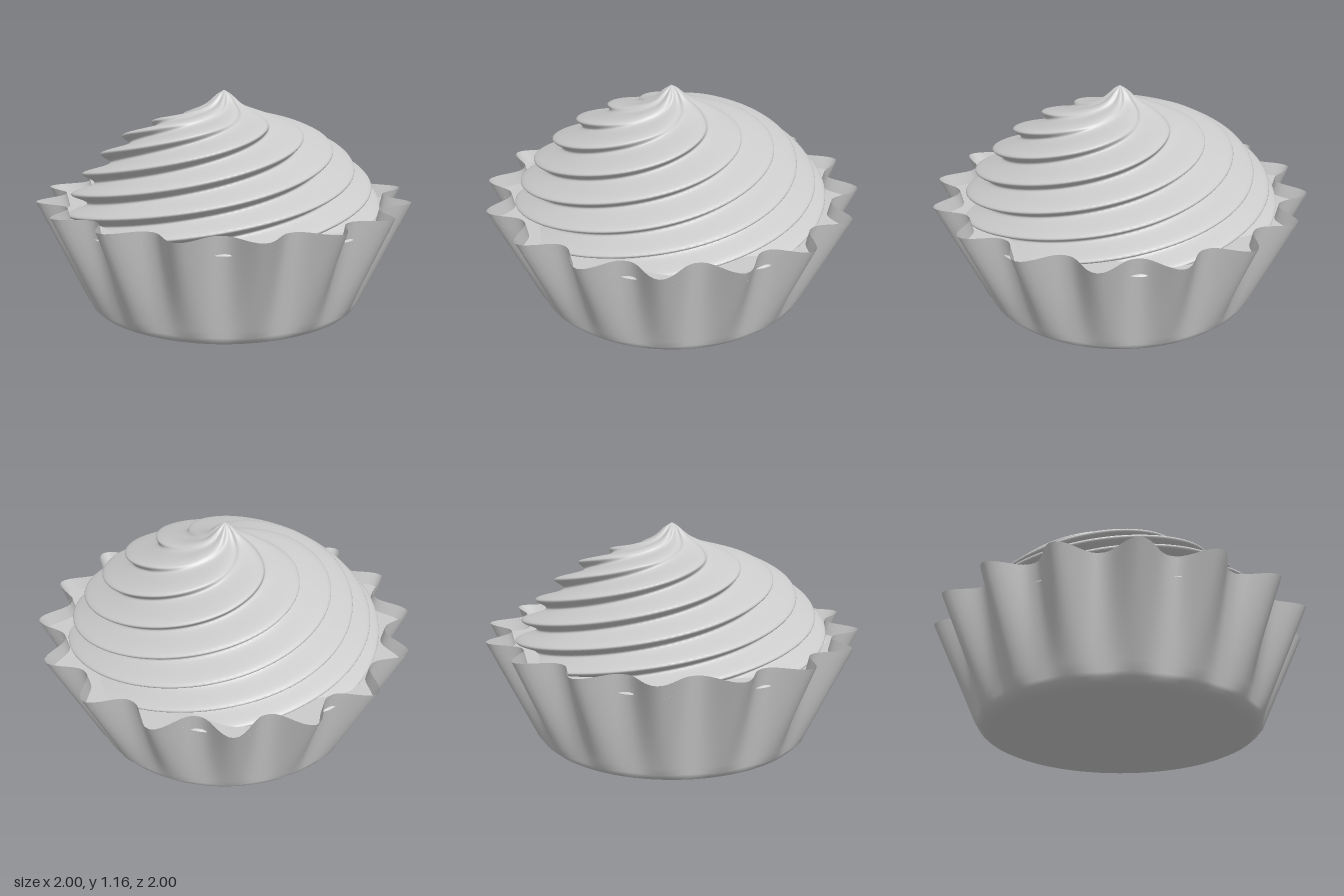
import * as THREE from 'three';

const TEETH = 16, LOBES = 8;

// Closed surface swept through rings, bottom to top; ring(v, angle) gives [radius, height]
function loft(rings, segments, ring) {
  const position = [], index = [];
  for (let j = 0; j <= rings; j++) {
    for (let i = 0; i < segments; i++) {
      const a = (i / segments) * Math.PI * 2;
      const [r, y] = ring(j / rings, a);
      position.push(r * Math.cos(a), y, r * Math.sin(a));
    }
  }
  for (let j = 0; j < rings; j++) {
    for (let i = 0; i < segments; i++) {
      const a = j * segments + i, b = j * segments + ((i + 1) % segments);
      index.push(a, a + segments, b, b, a + segments, b + segments);
    }
  }
  const g = new THREE.BufferGeometry();
  g.setAttribute('position', new THREE.Float32BufferAttribute(position, 3));
  g.setIndex(index);
  g.computeVertexNormals();
  return g;
}

// 0 in the valleys of the fluted wall, 1 on the teeth
const tooth = (a) => Math.pow((1 + Math.cos(TEETH * a)) / 2, 1.3);

// Fluted wall above the rounded foot
function wallRadius(y, a) {
  const t = (y - 0.06) / 0.54;
  const valley = 0.735 + 0.122 * t, tip = 0.748 + 0.252 * t;
  return valley + (tip - valley) * tooth(a);
}

export function createModel() {
  const group = new THREE.Group();
  const grey = new THREE.MeshStandardMaterial({ color: 0xcccccc });
  const thin = new THREE.MeshStandardMaterial({ color: 0xcccccc, side: THREE.DoubleSide });
  const add = (name, geometry, material) => {
    const mesh = new THREE.Mesh(geometry, material);
    mesh.name = name;
    group.add(mesh);
  };

  // Fluted cup: flat floor, rounded foot, flaring wall
  const foot = [[0, 0], [0.35, 0], [0.64, 0], [0.68, 0.008], [0.71, 0.022], [0.73, 0.04]];
  const wallRings = 12, cupRings = foot.length + wallRings;
  add('flutedCup', loft(cupRings, TEETH * 16, (v, a) => {
    const k = Math.round(v * cupRings);
    if (k < foot.length) return foot[k];
    const y = 0.06 + 0.54 * (k - foot.length) / wallRings;
    return [wallRadius(y, a), y];
  }), thin);

  // Flat filling just below the rim
  add('filling', loft(2, TEETH * 16, (v, a) => [wallRadius(0.53, a) * (1 - v), 0.53]), grey);

  // Swirled cream: x = mean radius, y = height, z = twist counted in lobes
  const swirl = new THREE.CatmullRomCurve3([
    [0.8, 0.5, -3.64], [0.785, 0.57, -3], [0.74, 0.68, -2], [0.645, 0.79, -1], [0.525, 0.9, 0],
    [0.36, 0.99, 0.9], [0.19, 1.045, 1.6], [0.09, 1.09, 2.1], [0.03, 1.145, 2.4], [0, 1.165, 2.5],
  ].map((p) => new THREE.Vector3(...p)));
  const creamRings = 140;
  const path = Array.from({ length: creamRings + 1 }, (_, j) => swirl.getPoint(j / creamRings));
  add('creamSwirl', loft(creamRings, LOBES * 32, (v, a) => {
    const p = path[Math.round(v * creamRings)];
    const depth = Math.min(0.05, p.x * 0.11);
    const r = p.x + depth * Math.cos(LOBES * a + (p.z - 0.06) * Math.PI * 2);
    return [Math.max(r, 0), p.y];
  }), grey);

  return group;
}
